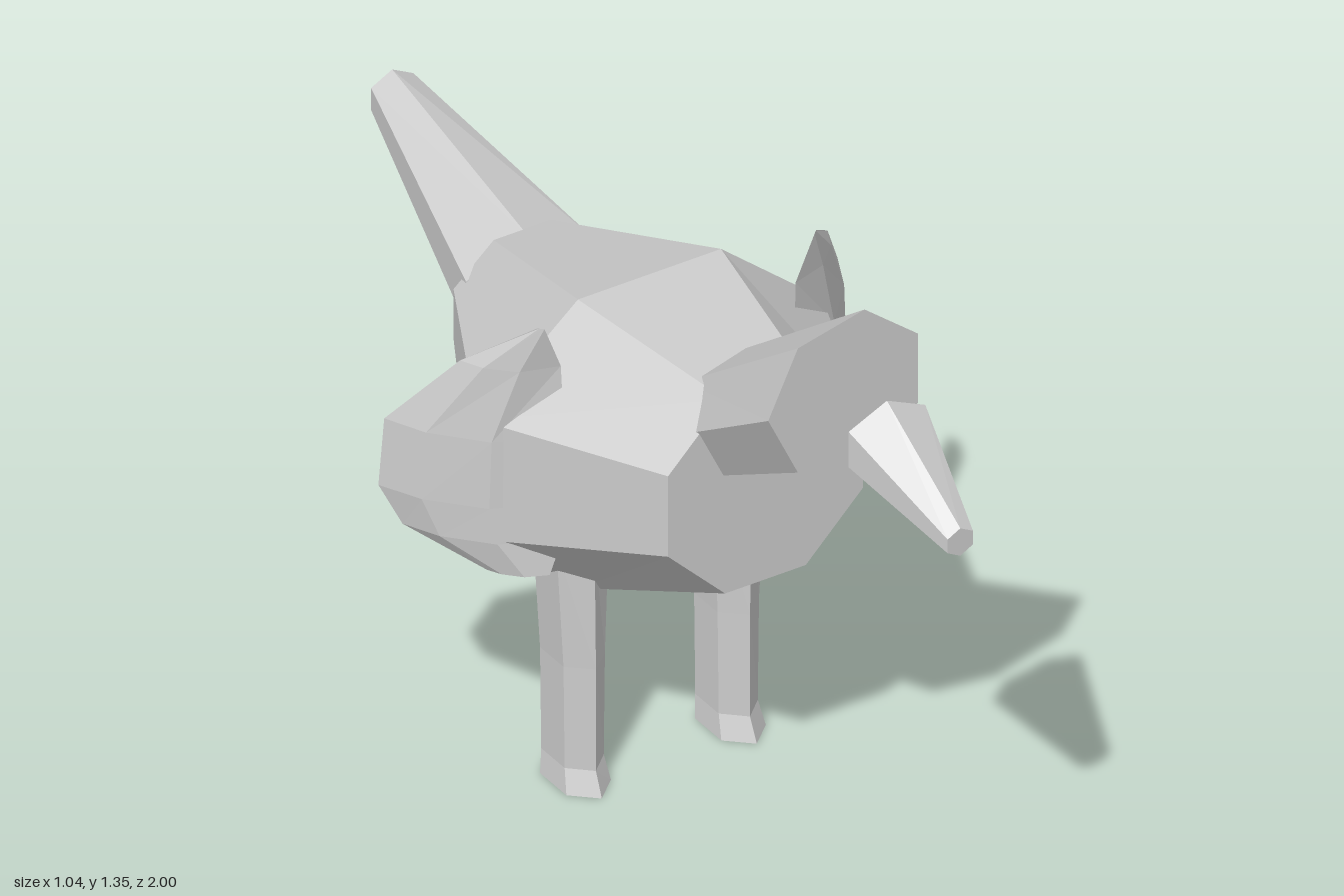
import * as THREE from 'three';

// Skin a list of equal-sized rings of points, closing both ends; faces always point outward.
function loft(rings) {
  const tris = [];
  const n = rings[0].length;
  for (let r = 0; r < rings.length - 1; r++) {
    for (let i = 0; i < n; i++) {
      const j = (i + 1) % n;
      const a = rings[r][i], b = rings[r][j], c = rings[r + 1][j], d = rings[r + 1][i];
      tris.push([a, b, c], [a, c, d]);
    }
  }
  const first = rings[0], last = rings[rings.length - 1];
  for (let i = 1; i < n - 1; i++) {
    tris.push([first[0], first[i + 1], first[i]], [last[0], last[i], last[i + 1]]);
  }
  let volume = 0;
  for (const [a, b, c] of tris) volume += a.dot(b.clone().cross(c));
  const pos = [];
  for (const [a, b, c] of tris) {
    for (const p of volume < 0 ? [a, c, b] : [a, b, c]) pos.push(p.x, p.y, p.z);
  }
  const geo = new THREE.BufferGeometry();
  geo.setAttribute('position', new THREE.Float32BufferAttribute(pos, 3));
  geo.computeVertexNormals();
  return geo;
}

// Regular polygon as [u, v] pairs.
function polygon(sides, u, v, ru, rv, start) {
  return Array.from({ length: sides }, (_, i) => {
    const a = start + (i / sides) * Math.PI * 2;
    return [u + ru * Math.cos(a), v + rv * Math.sin(a)];
  });
}

// Upright ring facing along z, and level ring facing along y.
const ringZ = (sides, z, x, y, rx, ry, start) =>
  polygon(sides, x, y, rx, ry, start).map(([u, v]) => new THREE.Vector3(u, v, z));
const ringY = (sides, y, x, z, rx, rz, start) =>
  polygon(sides, x, z, rx, rz, start).map(([u, v]) => new THREE.Vector3(u, y, v));

export function createModel() {
  const group = new THREE.Group();
  const grey = new THREE.MeshStandardMaterial({ color: 0xcccccc });
  grey.name = 'plain grey';
  const add = (name, rings) => {
    const mesh = new THREE.Mesh(loft(rings), grey);
    mesh.name = name;
    group.add(mesh);
  };
  const up = Math.PI / 2;

  // Body: octagonal barrel, widest in the middle
  const k = 1 / Math.cos(Math.PI / 8), flat = Math.PI / 8;
  add('body', [
    ringZ(8, 0.355, 0, 0.82, 0.22 * k, 0.22 * k, flat),
    ringZ(8, -0.05, 0, 0.742, 0.39 * k, 0.327 * k, flat),
    ringZ(8, -0.495, 0, 0.79, 0.155 * k, 0.135 * k, flat),
  ]);

  // Neck and head in one seven-sided piece
  add('neckAndHead', [
    ringZ(7, 0.2, 0, 0.885, 0.138, 0.138, Math.PI),
    ringZ(7, 0.64, 0, 1.178, 0.178, 0.18, Math.PI),
  ]);

  // Beak, set off in front of the head
  add('beak', [
    ringZ(6, 0.77, 0.006, 1.15, 0.1, 0.08, up),
    ringZ(6, 1.0, 0.023, 1.03, 0.033, 0.031, up),
  ]);

  // Tail
  add('tail', [
    ringZ(6, -0.47, 0, 0.822, 0.165, 0.1, up),
    ringZ(6, -1.0, 0.033, 0.95, 0.055, 0.05, up),
  ]);

  // Wing sections: height, leading edge x/z, trailing edge x/z, bulge
  const sections = [
    [1.11, 0.305, 0.055, 0.315, 0.045, 0],
    [1.01, 0.265, 0.05, 0.415, -0.07, 0.03],
    [0.85, 0.26, 0.055, 0.512, -0.185, 0.045],
    [0.7, 0.26, 0.055, 0.522, -0.19, 0.045],
    [0.62, 0.265, 0.055, 0.49, -0.155, 0.04],
    [0.545, 0.29, 0.05, 0.38, -0.03, 0.015],
  ];
  for (const [side, s] of [['left', 1], ['right', -1]]) {
    add(side + 'Wing', sections.map(([y, x0, z0, x1, z1, b]) => {
      const at = (t, off) => new THREE.Vector3(
        s * (x0 + (x1 - x0) * t + off * 0.69), y, z0 + (z1 - z0) * t + off * 0.73);
      return [at(0, 0), at(0.38, b), at(0.75, b * 0.75), at(1, 0), at(0.5, -0.1 * b)];
    }));

    // Leg with a slightly flared foot
    add(side + 'Leg', [
      ringY(6, 0, s * 0.175, -0.038, 0.058, 0.092, up),
      ringY(6, 0.05, s * 0.174, -0.05, 0.051, 0.082, up),
      ringY(6, 0.28, s * 0.174, -0.05, 0.054, 0.082, up),
      ringY(6, 0.55, s * 0.178, -0.05, 0.068, 0.084, up),
    ]);
  }
  return group;
}
